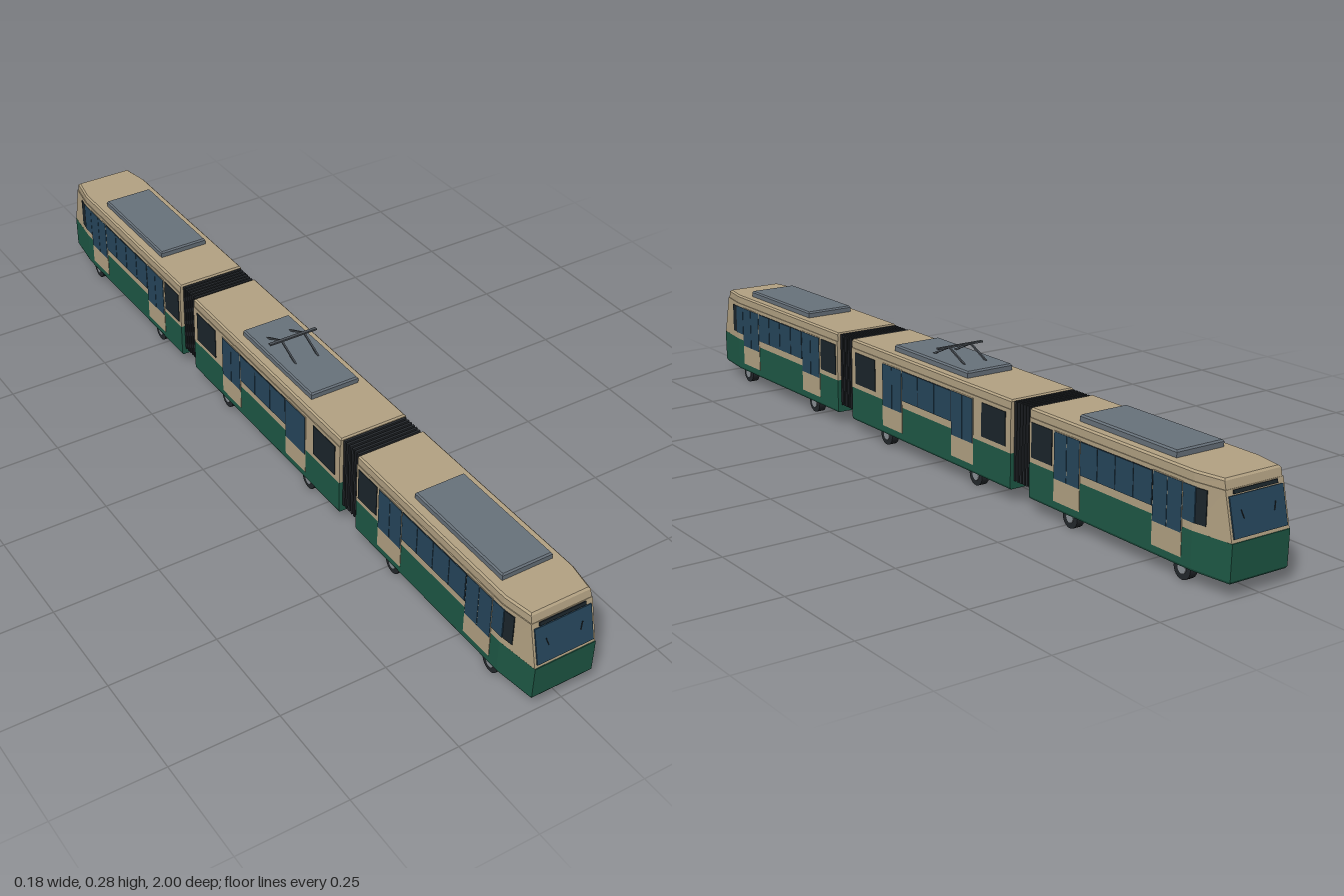
import * as THREE from 'three';

const paint = (color) => new THREE.MeshStandardMaterial({ color });
const CREAM = paint(0xb3a283), GREEN = paint(0x1e5946), GLASS = paint(0x26465c), DARK = paint(0x1b252b);
const GREY = paint(0x68727b), RUBBER = paint(0x24282c), METAL = paint(0x4a5056), HUB = paint(0x8a9095);
const W = 0.087; // half width of the cars

function add(parent, name, geometry, material, x = 0, y = 0, z = 0) {
  const mesh = new THREE.Mesh(geometry, material);
  mesh.name = name;
  mesh.position.set(x, y, z);
  parent.add(mesh);
  return mesh;
}
const box = (w, h, d) => new THREE.BoxGeometry(w, h, d);

// Faceted solid through stacked plan outlines, each { y, pts: [[x, z], ...] }
function loft(levels) {
  const pos = [];
  const P = (l, i) => {
    const p = levels[l].pts, q = p[i % p.length];
    return [q[0], levels[l].y, q[1]];
  };
  const n = levels[0].pts.length, top = levels.length - 1;
  for (let l = 0; l < top; l++) {
    for (let i = 0; i < n; i++) {
      pos.push(...P(l, i), ...P(l, i + 1), ...P(l + 1, i + 1));
      pos.push(...P(l, i), ...P(l + 1, i + 1), ...P(l + 1, i));
    }
  }
  for (let i = 1; i < n - 1; i++) {
    pos.push(...P(top, 0), ...P(top, i), ...P(top, i + 1));
    pos.push(...P(0, 0), ...P(0, i + 1), ...P(0, i));
  }
  const g = new THREE.BufferGeometry();
  g.setAttribute('position', new THREE.Float32BufferAttribute(pos, 3));
  g.computeVertexNormals();
  return g;
}

// Plan outlines: tapered nose for the end cars, plain rectangle for the middle
const nosePlan = (y, w, tip, back = 0.39) => ({
  y, pts: [[w - 0.012, tip], [w, 0.9], [w, back], [-w, back], [-w, 0.9], [0.012 - w, tip]],
});
const boxPlan = (y, w, l = 0.323) => ({ y, pts: [[w, l], [w, -l], [-w, -l], [-w, l]] });

// Thin panel on both flanks, between z0..z1 and y0..y1
function sidePanels(car, name, material, z0, z1, y0, y1, out = 0.0015) {
  for (const s of [1, -1]) {
    add(car, name, box(0.004, y1 - y0, z1 - z0), material, s * (W + out - 0.002), (y0 + y1) / 2, (z0 + z1) / 2);
  }
}

// Double-leaf door: cream frame and kick panel, two tall panes
function door(car, z0, z1) {
  const mid = (z0 + z1) / 2, g = 0.0015;
  sidePanels(car, 'doorPanel', CREAM, z0, z1, 0.05, 0.205, 0.001);
  sidePanels(car, 'doorGlass', GLASS, z0 + g, mid - g / 2, 0.1, 0.203, 0.002);
  sidePanels(car, 'doorGlass', GLASS, mid + g / 2, z1 - g, 0.1, 0.203, 0.002);
}

function windowRow(car, z0, z1, count) {
  const step = (z1 - z0) / count;
  sidePanels(car, 'windowBand', DARK, z0, z1, 0.13, 0.203, 0.001);
  for (let i = 0; i < count; i++) {
    sidePanels(car, 'sideWindow', GLASS, z0 + i * step + 0.001, z0 + (i + 1) * step - 0.001, 0.131, 0.202, 0.002);
  }
}

function wheelPair(car, z) {
  for (const s of [1, -1]) {
    const tyre = add(car, 'wheel', new THREE.CylinderGeometry(0.024, 0.024, 0.019, 24), RUBBER, s * 0.0685, 0.024, z);
    const hub = add(car, 'wheelHub', new THREE.CylinderGeometry(0.012, 0.012, 0.003, 16), HUB, s * 0.0785, 0.024, z);
    tyre.rotation.z = hub.rotation.z = Math.PI / 2;
  }
  const axle = add(car, 'axle', new THREE.CylinderGeometry(0.005, 0.005, 0.12, 10), METAL, 0, 0.026, z);
  axle.rotation.z = Math.PI / 2;
}

function roofUnit(parent, z) {
  const ring = (y, w, l) => ({ y, pts: [[w, z + l], [w, z - l], [-w, z - l], [-w, z + l]] });
  const shape = [ring(0.232, 0.062, 0.148), ring(0.244, 0.062, 0.148), ring(0.248, 0.059, 0.145)];
  add(parent, 'roofUnit', loft(shape), GREY);
}

// End car with its cab towards +z
function endCar() {
  const car = new THREE.Group();
  add(car, 'lowerBody', loft([nosePlan(0.031, W - 0.002, 0.994), nosePlan(0.036, W, 0.997), nosePlan(0.113, W, 0.999)]), GREEN);
  add(car, 'upperBody', loft([nosePlan(0.113, W, 0.997), nosePlan(0.212, W, 0.974)]), CREAM);
  add(car, 'roof', loft([
    nosePlan(0.212, W - 0.002, 0.973), nosePlan(0.229, W - 0.002, 0.969), nosePlan(0.233, W - 0.006, 0.965, 0.392),
  ]), CREAM);

  // Sloping cab front, laid out in its own tilted frame
  const front = new THREE.Group();
  front.name = 'cabFront';
  front.position.set(0, 0.16, 0.9865);
  front.rotation.x = -Math.atan2(0.023, 0.099);
  add(front, 'windscreen', box(0.139, 0.082, 0.005), GLASS);
  add(front, 'destinationDisplay', box(0.114, 0.008, 0.005), DARK, 0, 0.0475, 0);
  for (const s of [1, -1]) {
    const wiper = add(front, 'wiper', box(0.002, 0.018, 0.002), DARK, s * 0.042, 0.003, 0.003);
    wiper.rotation.z = -s * 0.3;
    const pane = add(car, 'cabSideWindow', box(0.004, 0.072, 0.026), DARK, s * 0.0836, 0.166, 0.921);
    pane.rotation.y = -s * 0.14;
  }
  car.add(front);

  sidePanels(car, 'frontWindow', GLASS, 0.873, 0.907, 0.13, 0.203);
  door(car, 0.786, 0.872);
  windowRow(car, 0.562, 0.785, 4);
  door(car, 0.475, 0.561);
  sidePanels(car, 'rearWindow', DARK, 0.398, 0.468, 0.125, 0.203);
  wheelPair(car, 0.867);
  wheelPair(car, 0.52);
  return car;
}

function middleCar() {
  const car = new THREE.Group();
  car.name = 'middleCar';
  add(car, 'lowerBody', loft([boxPlan(0.031, W - 0.002), boxPlan(0.036, W), boxPlan(0.113, W)]), GREEN);
  add(car, 'upperBody', loft([boxPlan(0.113, W), boxPlan(0.212, W)]), CREAM);
  add(car, 'roof', loft([boxPlan(0.212, W - 0.002), boxPlan(0.229, W - 0.002), boxPlan(0.233, W - 0.006, 0.32)]), CREAM);
  windowRow(car, -0.1, 0.1, 3);
  for (const s of [1, -1]) {
    const span = (a, b) => (s > 0 ? [a, b] : [-b, -a]);
    door(car, ...span(0.101, 0.185));
    sidePanels(car, 'endWindow', DARK, ...span(0.217, 0.305), 0.125, 0.203);
    wheelPair(car, s * 0.183);
  }
  return car;
}

// Folding gangway: a core with evenly spaced ribs
function bellows(z) {
  const g = new THREE.Group();
  g.name = 'bellows';
  add(g, 'bellowsCore', box(0.146, 0.17, 0.07), DARK, 0, 0.141, z);
  for (let i = 0; i < 6; i++) {
    add(g, 'bellowsRib', box(0.16, 0.18, 0.006), RUBBER, 0, 0.141, z + (i - 2.5) * 0.0105);
  }
  return g;
}

function pantograph() {
  const g = new THREE.Group();
  g.name = 'pantograph';
  g.position.z = -0.01;
  const rise = 0.028, run = 0.062;
  for (const x of [-0.03, 0.03]) {
    for (const s of [1, -1]) {
      const arm = add(g, 'pantographArm', box(0.004, 0.004, Math.hypot(rise, run)), METAL, x, 0.247 + rise / 2, s * run / 2);
      arm.rotation.x = s * Math.atan2(rise, run);
    }
  }
  add(g, 'contactBar', box(0.124, 0.004, 0.008), METAL, 0, 0.2755, 0);
  return g;
}

export function createModel() {
  const tram = new THREE.Group();
  tram.name = 'articulatedTram';
  const frontCar = endCar(), rearCar = endCar();
  frontCar.name = 'frontCar';
  rearCar.name = 'rearCar';
  rearCar.rotation.y = Math.PI;
  tram.add(frontCar, middleCar(), rearCar, bellows(0.356), bellows(-0.356), pantograph());
  for (const z of [0.715, 0.02, -0.675]) roofUnit(tram, z);
  return tram;
}
